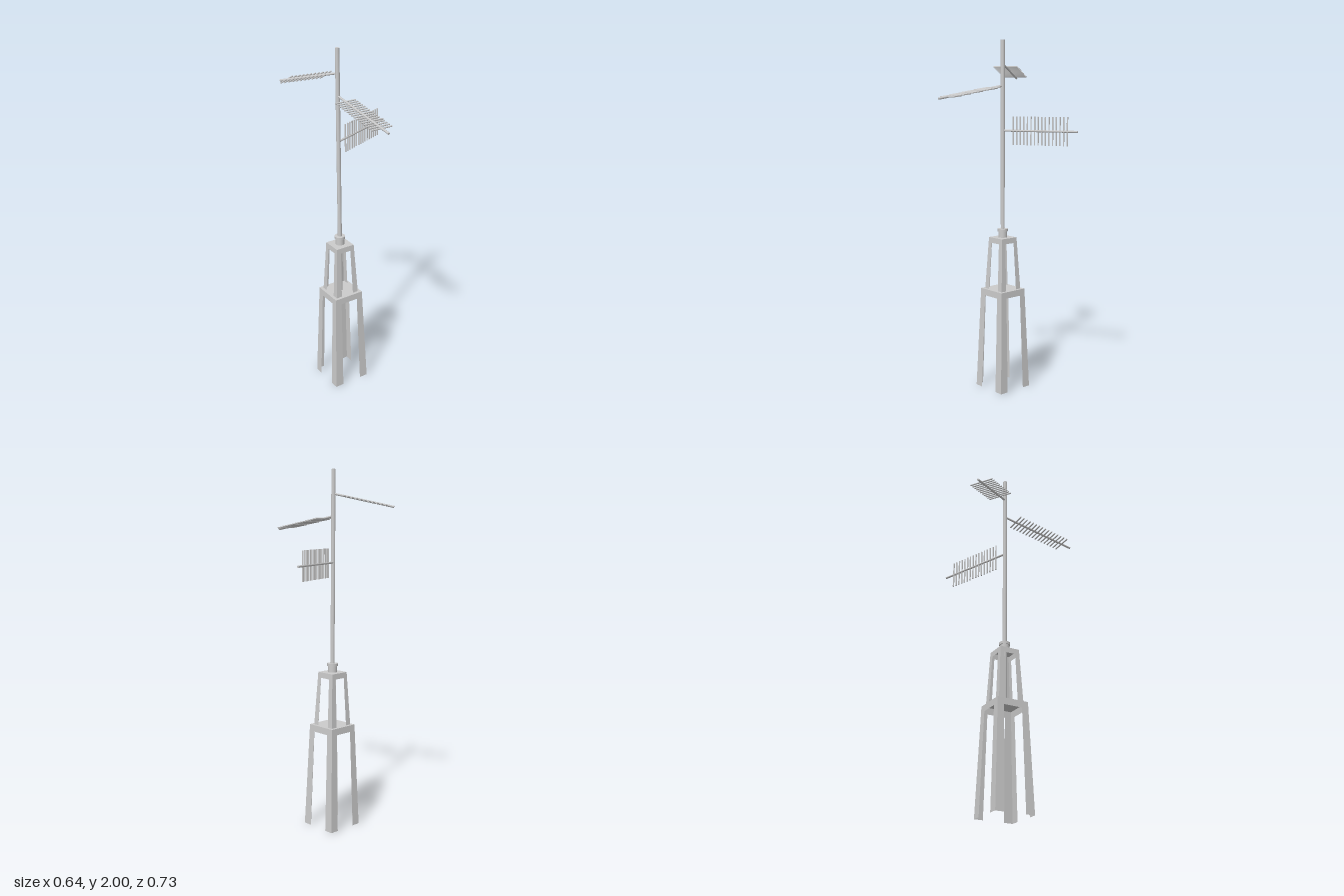
import * as THREE from 'three';

const metal = new THREE.MeshStandardMaterial({ color: 0xcccccc });
const sheet = new THREE.MeshStandardMaterial({ color: 0xcccccc, side: THREE.DoubleSide });

function addMesh(parent, name, geometry, material = metal) {
  const mesh = new THREE.Mesh(geometry, material);
  mesh.name = name;
  parent.add(mesh);
  return mesh;
}

// Tapered sheet-metal stand: four arched sides that meet as angle-section legs, plus a top plate
function createStand(name, { y0, y1, base, top, foot, shoulder, skirt }) {
  const stand = new THREE.Group();
  stand.name = name;
  const halfAt = (y) => base + (top - base) * (y - y0) / (y1 - y0);
  const archY = y1 - skirt;
  const inner = halfAt(archY) - shoulder;
  const outline = new THREE.Shape([
    [-base, y0], [-base + foot, y0], [-inner, archY], [inner, archY],
    [base - foot, y0], [base, y0], [top, y1], [-top, y1],
  ].map(([x, y]) => new THREE.Vector2(x, y)));
  const side = new THREE.ShapeGeometry(outline);
  const pos = side.attributes.position;
  for (let i = 0; i < pos.count; i++) pos.setZ(i, halfAt(pos.getY(i)));
  side.computeVertexNormals();
  for (let k = 0; k < 4; k++) {
    addMesh(stand, 'legSide', side, sheet).rotation.y = k * Math.PI / 2;
  }
  const plate = addMesh(stand, 'topPlate', new THREE.PlaneGeometry(2 * top, 2 * top), sheet);
  plate.rotation.x = -Math.PI / 2;
  plate.position.y = y1;
  return stand;
}

// Comb antenna pointing along +z, with evenly spaced cross rods
function createAntenna(name, { length, first, last, count, half, vertical }) {
  const antenna = new THREE.Group();
  antenna.name = name;
  const boom = addMesh(antenna, 'boom', new THREE.CylinderGeometry(0.006, 0.006, length, 8));
  boom.rotation.x = Math.PI / 2;
  boom.position.z = length / 2;
  const rod = new THREE.CylinderGeometry(0.0042, 0.0042, 2 * half, 8);
  for (let i = 0; i < count; i++) {
    const element = addMesh(antenna, 'crossRod', rod);
    if (!vertical) element.rotation.z = Math.PI / 2;
    element.position.z = first + (last - first) * i / (count - 1);
  }
  return antenna;
}

export function createModel() {
  const model = new THREE.Group();
  model.name = 'antennaMast';
  const tower = new THREE.Group();
  tower.name = 'tower';
  tower.position.set(-0.095, 0, -0.087);
  model.add(tower);

  // Two stacked stands
  tower.add(createStand('lowerStand',
    { y0: 0, y1: 0.588, base: 0.11, top: 0.089, foot: 0.05, shoulder: 0.038, skirt: 0.037 }));
  tower.add(createStand('upperStand',
    { y0: 0.588, y1: 0.89, base: 0.072, top: 0.056, foot: 0.034, shoulder: 0.026, skirt: 0.031 }));

  // Collar with a wider rim
  const collar = [[0.025, 0.89], [0.025, 0.925], [0.03, 0.925], [0.03, 0.94], [0.0, 0.94]];
  collar.slice(1).forEach((p, i) => addMesh(tower, 'collar', new THREE.LatheGeometry(
    [collar[i], p].map(([r, y]) => new THREE.Vector2(r, y)), 16), sheet));

  // Pole
  addMesh(tower, 'pole', new THREE.CylinderGeometry(0.0117, 0.0117, 1.412, 12)).position.y = 1.294;

  // Antennas: height on the pole, heading around it and downward tilt
  const antennas = [
    ['frontAntenna', 1.75, 0, 0.161,
      { length: 0.455, first: 0.073, last: 0.394, count: 16, half: 0.062 }],
    ['sideAntenna', 1.5, Math.atan2(213, -89), 0,
      { length: 0.449, first: 0.066, last: 0.389, count: 16, half: 0.079, vertical: true }],
    ['rearAntenna', 1.87, Math.atan2(-95, -141), 0.215,
      { length: 0.338, first: 0.068, last: 0.298, count: 11, half: 0.069 }],
  ];
  for (const [name, y, heading, tilt, size] of antennas) {
    const antenna = createAntenna(name, size);
    antenna.position.y = y;
    antenna.rotation.set(tilt, heading, 0, 'YXZ');
    tower.add(antenna);
  }
  return model;
}
